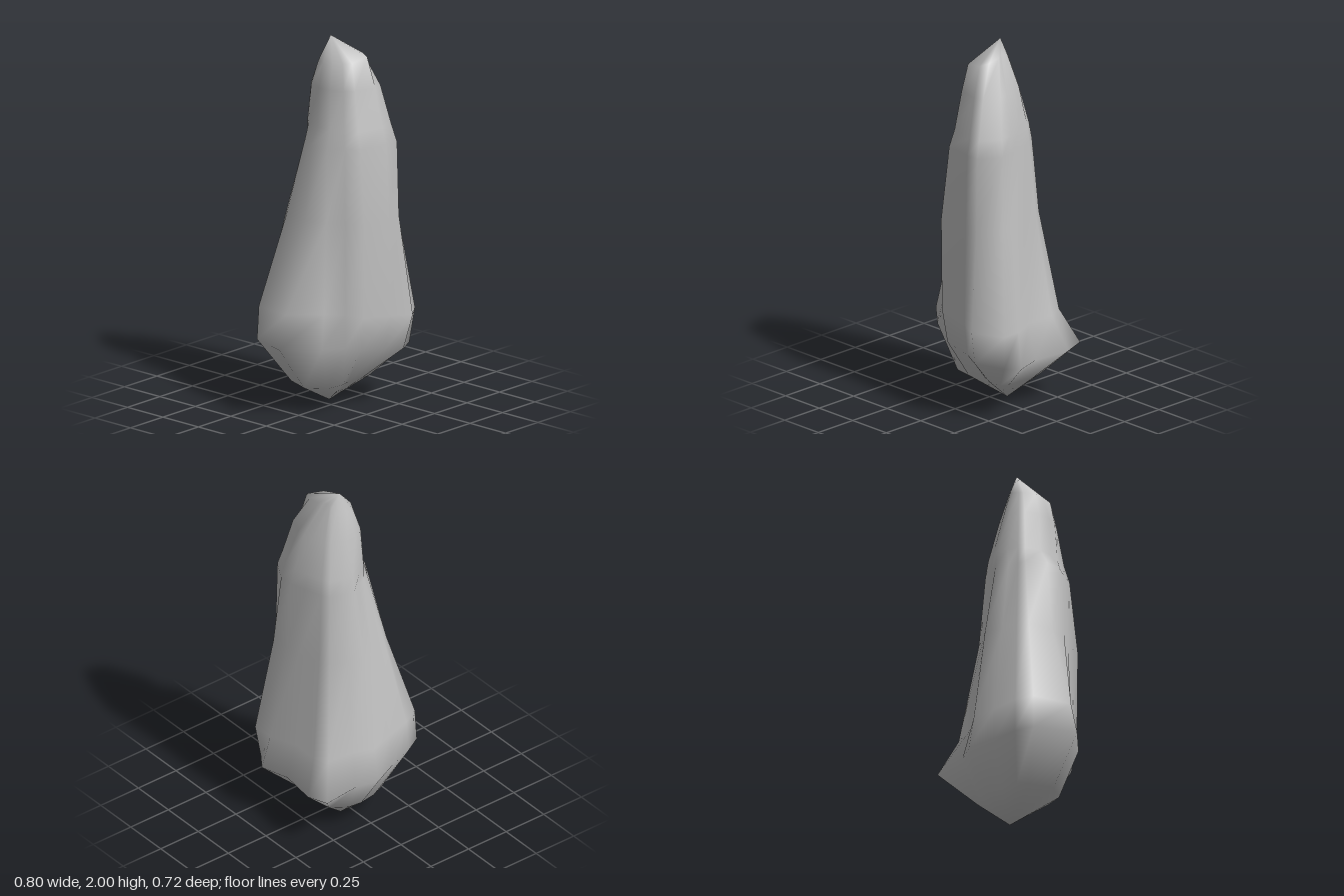
import * as THREE from 'three';

// Directions of the ridges and grooves about the axis, in degrees,
// running from +x through the front (+z), -x and the back (-z).
const AXIS_X = 0.06;
const ANGLES = [2, 25, 39, 64, 78, 113, 130, 153, 180, 211, 224, 244, 267, 286, 312, 328]
  .map(THREE.MathUtils.degToRad);
const SIDES = ANGLES.length;

// Sections of the spire: height, rise towards +x, then the radius in each direction.
const SECTIONS = [
  [0.14, 0, .15, .17, .16, .12, .10, .11, .15, .22, .27, .26, .26, .24, .23, .23, .22, .19],
  [0.345, -.045, .29, .376, .37, .35, .28, .28, .26, .33, .46, .445, .40, .35, .365, .33, .43, .38],
  [0.53, -.04, .24, .33, .40, .40, .31, .31, .26, .29, .41, .435, .39, .33, .33, .28, .32, .29],
  [1.05, 0, .215, .24, .305, .325, .30, .315, .25, .25, .26, .285, .275, .23, .25, .21, .215, .205],
  [1.45, 0, .175, .22, .265, .315, .285, .27, .23, .225, .22, .185, .165, .15, .175, .165, .18, .17],
  [1.54, 0, .16, .20, .245, .285, .26, .24, .195, .17, .165, .165, .165, .16, .165, .155, .165, .16],
  [1.75, 0, .13, .15, .175, .225, .22, .20, .18, .165, .155, .15, .145, .135, .12, .105, .11, .115],
  [1.905, .03, .03, .045, .07, .13, .17, .165, .14, .13, .125, .11, .10, .085, .07, .06, .05, .04],
];
const BOTTOM_TIP = [0.06, 0, -0.07];
const TOP_TIP = [0.04, 2, -0.04];

function spireGeometry() {
  const positions = [];
  const indices = [];

  for (const [y, rise, ...radii] of SECTIONS) {
    radii.forEach((r, k) => {
      const c = Math.cos(ANGLES[k]);
      positions.push(AXIS_X + r * c, y + rise * c, r * Math.sin(ANGLES[k]));
    });
  }
  const bottom = positions.length / 3;
  const top = bottom + 1;
  positions.push(...BOTTOM_TIP, ...TOP_TIP);

  const last = (SECTIONS.length - 1) * SIDES;
  for (let k = 0; k < SIDES; k++) {
    const n = (k + 1) % SIDES;
    // skin between neighbouring sections
    for (let row = 0; row < last; row += SIDES) {
      const a = row + k, b = row + n, c = a + SIDES, d = b + SIDES;
      indices.push(a, c, b, b, c, d);
    }
    // pointed foot and peak
    indices.push(bottom, k, n);
    indices.push(last + k, top, last + n);
  }

  const geometry = new THREE.BufferGeometry();
  geometry.setAttribute('position', new THREE.Float32BufferAttribute(positions, 3));
  geometry.setIndex(indices);
  geometry.computeVertexNormals();
  return geometry;
}

export function createModel() {
  const stone = new THREE.MeshStandardMaterial({ color: 0xc0c0c0 });
  stone.name = 'grey stone';

  const spire = new THREE.Mesh(spireGeometry(), stone);
  spire.name = 'rockSpire';

  const model = new THREE.Group();
  model.name = 'rock';
  model.add(spire);
  return model;
}
